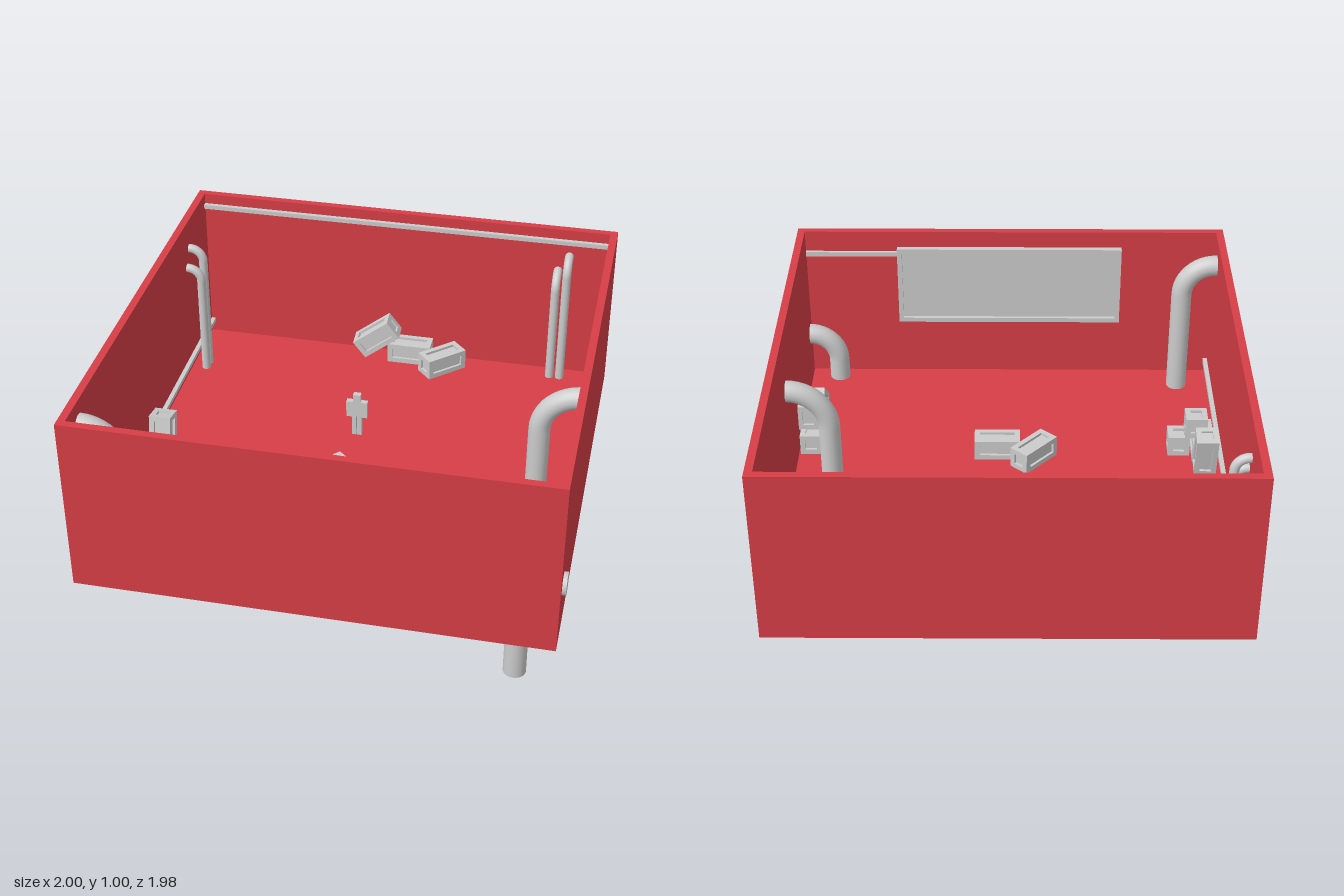
import * as THREE from 'three';

const red = new THREE.MeshStandardMaterial({ color: 0xd83e46 });
const grey = new THREE.MeshStandardMaterial({ color: 0xcccccc });

function add(parent, name, geometry, x, y, z, material = grey) {
  const mesh = new THREE.Mesh(geometry, material);
  mesh.name = name;
  mesh.position.set(x, y, z);
  parent.add(mesh);
  return mesh;
}

const box = (parent, name, w, h, d, x, y, z, material) =>
  add(parent, name, new THREE.BoxGeometry(w, h, d), x, y, z, material);

const FLOOR = 0.25;

// Upright pipe that bends through a quarter turn into a wall (turn 0 = towards +x)
function pipe(parent, name, { x, z, r, bottom, top, bend, turn, stub = 0.005 }) {
  const g = new THREE.Group();
  g.name = name;
  g.position.set(x, 0, z);
  g.rotation.y = turn;
  const h = top - bend - bottom;
  add(g, 'pipeShaft', new THREE.CylinderGeometry(r, r, h, 20), 0, bottom + h / 2, 0);
  add(g, 'pipeElbow', new THREE.TorusGeometry(bend, r, 20, 12, Math.PI / 2), bend, top - bend, 0)
    .rotation.z = Math.PI / 2;
  add(g, 'pipeEnd', new THREE.CylinderGeometry(r, r, stub, 20), bend + stub / 2, top, 0)
    .rotation.z = Math.PI / 2;
  parent.add(g);
}

// Crate with a raised border round a sunken panel on every face
function crate(parent, name, length, x, y, z, rotation = [0, 0, 0]) {
  const g = new THREE.Group();
  g.name = name;
  const size = [length, 0.098, 0.098], b = 0.024, inset = 0.024;
  box(g, 'crateCore', ...size.map((s) => s - inset), 0, 0, 0);
  for (let axis = 0; axis < 3; axis++) {
    const u = (axis + 1) % 3, v = (axis + 2) % 3;
    for (const su of [-1, 1]) for (const sv of [-1, 1]) {
      const dims = [b, b, b], pos = [0, 0, 0];
      dims[axis] = size[axis];
      pos[u] = su * (size[u] - b) / 2;
      pos[v] = sv * (size[v] - b) / 2;
      box(g, 'crateEdge', ...dims, ...pos);
    }
  }
  g.position.set(x, y, z);
  g.rotation.set(...rotation);
  parent.add(g);
}

export function createModel() {
  const model = new THREE.Group();
  model.name = 'openRoom';

  // Walls as one rectangular ring, and the floor
  const rect = (P, hw, hd) => {
    const p = new P();
    p.moveTo(-hw, -hd);
    p.lineTo(hw, -hd);
    p.lineTo(hw, hd);
    p.lineTo(-hw, hd);
    p.closePath();
    return p;
  };
  const ring = rect(THREE.Shape, 0.99, 0.99);
  ring.holes.push(rect(THREE.Path, 0.957, 0.957));
  const walls = new THREE.ExtrudeGeometry(ring, { depth: 0.79, bevelEnabled: false });
  add(model, 'walls', walls.rotateX(-Math.PI / 2), -0.01, 0.213, 0, red);
  box(model, 'floor', 1.92, FLOOR - 0.213, 1.92, -0.01, (FLOOR + 0.213) / 2, 0, red);

  // Rails along the walls
  box(model, 'backRail', 1.914, 0.02, 0.02, -0.01, 0.945, -0.947);
  box(model, 'sideRail', 0.02, 0.02, 1.914, -0.957, 0.31, 0);
  box(model, 'frontRail', 0.46, 0.022, 0.015, 0.717, 0.892, 0.95);

  // Framed board on the front wall
  const board = new THREE.Group();
  board.name = 'wallBoard';
  board.position.set(-0.005, 0.73, 0.943);
  model.add(board);
  box(board, 'boardPanel', 1.03, 0.37, 0.01, 0, 0, 0.008);
  for (const s of [-1, 1]) {
    box(board, 'boardFrameRail', 1.05, 0.022, 0.027, 0, s * 0.184, 0);
    box(board, 'boardFrameStile', 0.022, 0.39, 0.027, s * 0.514, 0, 0);
  }

  // Wide pipes; the first leaves through floor and wall
  const wide = { r: 0.047, bottom: FLOOR };
  pipe(model, 'drainPipe', { ...wide, x: 0.815, z: 0.9, bottom: 0, top: 0.485, bend: 0.135, turn: 0, stub: 0.047 });
  pipe(model, 'sidePipe', { ...wide, x: 0.77, z: 0, top: 0.74, bend: 0.18, turn: 0 });
  pipe(model, 'cornerPipe', { ...wide, x: -0.81, z: 0.83, top: 0.9, bend: 0.15, turn: Math.PI });

  // Thin pipes in pairs, one of each pair reaching below the floor
  for (const lower of [true, false]) {
    const thin = { r: 0.02, bottom: lower ? 0.155 : FLOOR, top: lower ? 0.79 : 0.87 };
    pipe(model, 'thinSidePipe', { ...thin, x: -0.9, z: lower ? -0.622 : -0.667, bend: 0.06, turn: Math.PI });
    pipe(model, 'thinBackPipe', { ...thin, x: lower ? 0.723 : 0.771, z: -0.885, bend: 0.073, turn: Math.PI / 2 });
  }

  // Crates: lying, leaning and stacked
  const L = 0.205, low = FLOOR + 0.049, high = low + 0.098, along = Math.PI / 2;
  crate(model, 'middleCrate', L, 0.045, low, 0.24);
  crate(model, 'middleTurnedCrate', L, -0.12, low + 0.01, 0.175, [0, 0.84, 0]);
  crate(model, 'backCrate', L, 0.045, low, -0.9);
  crate(model, 'backTurnedCrate', L, 0.21, low, -0.84, [0, 0.75, 0]);
  crate(model, 'backLeaningCrate', L, -0.115, 0.37, -0.885, [0, 0.06, 0.65]);
  crate(model, 'leftCrate', L, 0.89, low, 0.332, [0, along, 0]);
  crate(model, 'leftTopCrate', 0.12, 0.902, high + 0.01, 0.335, [0, 0, along]);
  crate(model, 'leftLeaningCrate', L, 0.89, 0.354, 0.512, [0, -along, -0.7]);
  crate(model, 'rightCrate', L, -0.885, low, 0.28, [0, along, 0]);
  crate(model, 'rightFloorCrate', 0.098, -0.778, low, 0.277);
  crate(model, 'rightTopCrate', 0.098, -0.853, high, 0.277);
  crate(model, 'rightUprightCrate', L, -0.885, 0.36, 0.106, [0, along, along - 0.21]);

  // Small block figure standing on the floor
  const figure = new THREE.Group();
  figure.name = 'figure';
  figure.position.set(-0.075, FLOOR, -0.235);
  model.add(figure);
  box(figure, 'head', 0.034, 0.034, 0.026, 0, 0.197, 0);
  box(figure, 'torso', 0.036, 0.08, 0.025, 0, 0.14, 0);
  for (const s of [-1, 1]) {
    box(figure, 'arm', 0.03, 0.08, 0.025, s * 0.033, 0.136, 0);
    box(figure, 'leg', 0.02, 0.1, 0.025, s * 0.012, 0.05, 0);
  }
  return model;
}
